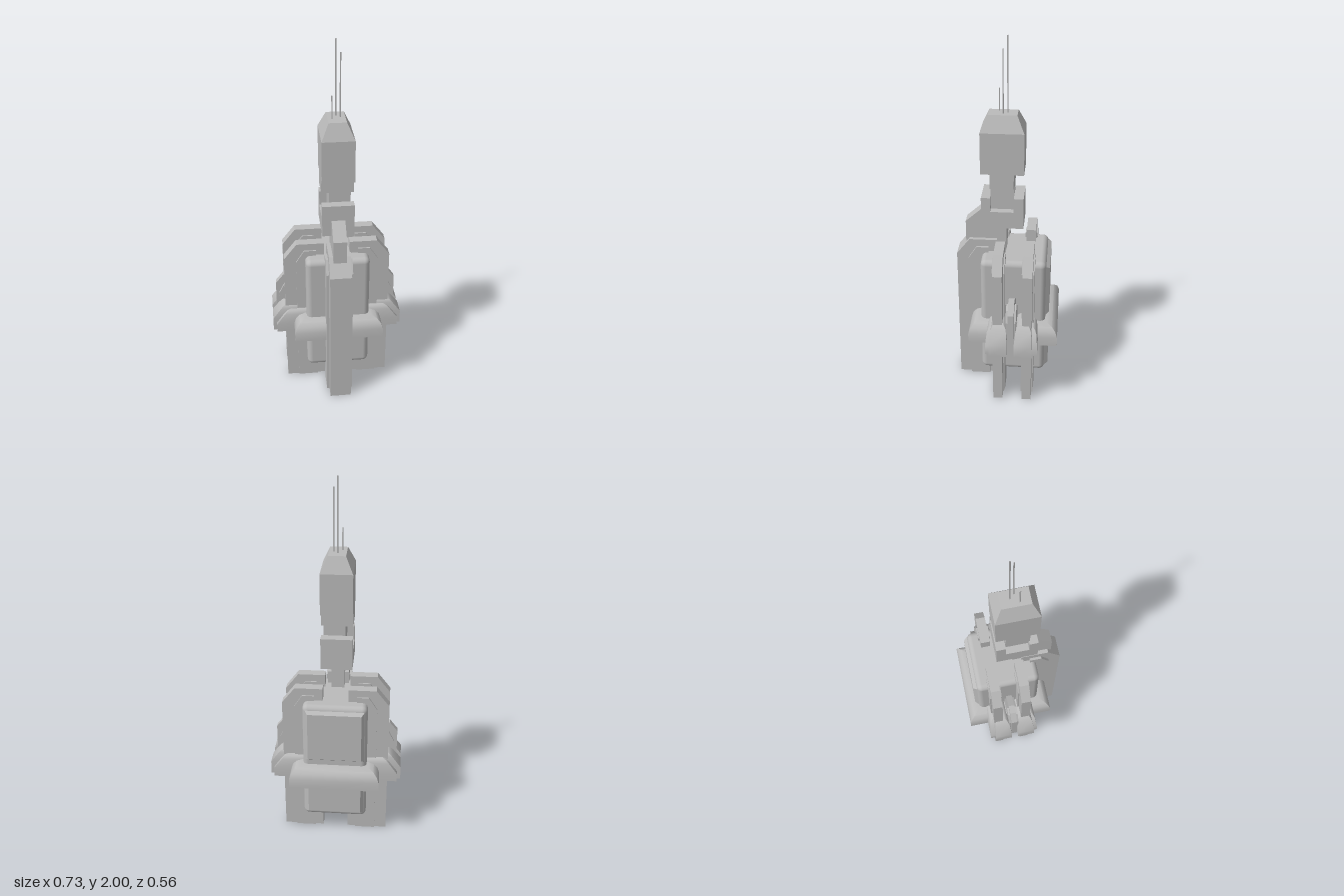
import * as THREE from 'three';
import { toCreasedNormals } from 'three/addons/utils/BufferGeometryUtils.js';
import { RoundedBoxGeometry } from 'three/addons/geometries/RoundedBoxGeometry.js';

const grey = new THREE.MeshStandardMaterial({ color: 0xbababa });
grey.name = 'grey';

export function createModel() {
  const root = new THREE.Group();
  root.name = 'tower';

  const add = (name, geometry) => {
    const mesh = new THREE.Mesh(geometry, grey);
    mesh.name = name;
    root.add(mesh);
    return mesh;
  };

  // Box given by its limits
  const box = (name, x0, x1, y0, y1, z0, z1) =>
    add(name, new THREE.BoxGeometry(x1 - x0, y1 - y0, z1 - z0)
      .translate((x0 + x1) / 2, (y0 + y1) / 2, (z0 + z1) / 2));

  // Plate with an outline in the front plane, between two z values
  const plate = (points, z0, z1) =>
    new THREE.ExtrudeGeometry(new THREE.Shape(points.map(([x, y]) => new THREE.Vector2(x, y))),
      { depth: z1 - z0, bevelEnabled: false }).translate(0, 0, z0);

  // Plate with an outline of [z, y] points, centred on x = 0
  const sidePlate = (points, half) => plate(points, -half, half).rotateY(-Math.PI / 2);

  // Solid through stacked rectangles [y, x0, x1, z0, z1]
  const loft = (levels, crease) => {
    const pos = [], index = [];
    for (const [y, x0, x1, z0, z1] of levels) pos.push(x0, y, z1, x1, y, z1, x1, y, z0, x0, y, z0);
    const n = levels.length - 1;
    for (let l = 0; l < n; l++) {
      for (let i = 0; i < 4; i++) {
        const a = l * 4 + i, b = l * 4 + (i + 1) % 4;
        index.push(a, b, b + 4, a, b + 4, a + 4);
      }
    }
    const t = n * 4;
    index.push(0, 2, 1, 0, 3, 2, t, t + 1, t + 2, t, t + 2, t + 3);
    const g = new THREE.BufferGeometry();
    g.setAttribute('position', new THREE.Float32BufferAttribute(pos, 3));
    g.setIndex(index);
    return toCreasedNormals(g, crease);
  };

  // Main body with back panel
  add('body', new RoundedBoxGeometry(0.35, 0.71, 0.355, 4, 0.03).translate(0, 0.475, -0.0375));
  const panel = loft([
    [0, -0.16, 0.16, -0.4, -0.09],
    [0.02, -0.145, 0.145, -0.385, -0.105],
  ], 0.1);
  for (const [name, centre, scale] of [['upperBackPanel', 0.65, 1], ['lowerBackPanel', 0.28, 0.85]]) {
    const g = panel.clone().translate(0, 0, 0.245).scale(1, 1, scale);
    add(name, g.rotateX(-Math.PI / 2).translate(0, centre, -0.214));
  }

  // Arched buttresses: a tall narrow plate over a wider, lower one
  const tall = [[0.07, 0], [0.29, 0], [0.29, 0.81], [0.22, 0.9], [0.07, 0.9]];
  const low = [[0.115, 0], [0.225, 0], [0.225, 0.79], [0.18, 0.86], [0.115, 0.86]];
  const shift = (points, d) => points.map(([x, y]) => [x + d, y]);
  const mirror = (points, s) => points.map(([x, y]) => [x * s, y]);
  for (const s of [1, -1]) {
    for (const z of [-0.121, 0.039]) {
      add('buttress', plate(mirror(tall, s), z - 0.026, z + 0.026));
      add('buttressCore', plate(mirror(low, s), z - 0.034, z + 0.034));
    }
  }
  add('frontSpine', sidePlate(shift(tall, -0.01), 0.058));
  add('frontSpineCore', sidePlate(shift(low, -0.01), 0.072));

  // Belt with rounded shoulders, swelling over each buttress
  add('belt', loft([
    [0.35, -0.245, 0.245, -0.285, 0.205],
    [0.405, -0.245, 0.245, -0.285, 0.205],
    [0.435, -0.235, 0.235, -0.275, 0.195],
    [0.455, -0.215, 0.215, -0.255, 0.175],
    [0.465, -0.185, 0.185, -0.225, 0.145],
  ], 0.8));
  const swelling = (s, out, top, z0, z1) => {
    const level = (y, dx, dz) => {
      const a = s * 0.15, b = s * (out - dx);
      return [y, Math.min(a, b), Math.max(a, b), z0 + dz, z1 - dz];
    };
    return loft([level(0.35, 0, 0), level(top - 0.085, 0, 0), level(top - 0.025, 0.045, 0.006),
      level(top - 0.008, 0.062, 0.014), level(top, 0.08, 0.026)], 0.7);
  };
  for (const s of [1, -1]) {
    add('beltRearKnuckle', swelling(s, 0.363, 0.51, -0.152, -0.055));
    add('beltFrontKnuckle', swelling(s, 0.363, 0.51, -0.017, 0.08));
    add('beltRearShoulder', swelling(s, 0.343, 0.485, -0.18, -0.06));
    add('beltFrontShoulder', swelling(s, 0.343, 0.485, -0.012, 0.102));

    // Small side fin between the buttresses
    const fin = [[0.16, 0.35], [0.338, 0.35], [0.338, 0.6], [0.295, 0.655], [0.25, 0.655], [0.16, 0.6]];
    const finBase = [[0.16, 0.35], [0.32, 0.35], [0.32, 0.54], [0.29, 0.6], [0.25, 0.62], [0.16, 0.55]];
    add('sideFin', plate(mirror(fin, s), -0.053, -0.021));
    add('sideFinBase', plate(mirror(finBase, s), -0.063, -0.008));
    box('sideFinStep', s > 0 ? 0.16 : -0.25, s > 0 ? 0.25 : -0.16, 0.35, 0.5, -0.082, 0.006);
  }

  // Sloped column carrying the upper stages
  add('shoulderColumn', sidePlate(
    [[0.01, 0.8], [0.23, 0.8], [0.23, 1.0], [0.14, 1.08], [0.01, 1.08]], 0.036));

  // Cradle, open from side to side
  add('cradle', sidePlate([[-0.085, 0.99], [0.14, 0.99], [0.14, 1.165], [0.092, 1.165],
    [0.092, 1.085], [-0.033, 1.085], [-0.033, 1.165], [-0.085, 1.165]], 0.085));
  box('neck', -0.045, 0.045, 1.08, 1.31, -0.033, 0.092);
  for (const s of [1, -1]) {
    box('headTab', s > 0 ? 0.045 : -0.085, s > 0 ? 0.085 : -0.045, 1.22, 1.31, -0.033, 0.092);
  }

  // Head tapering to a flat roof
  add('head', loft([
    [1.3, -0.085, 0.085, -0.086, 0.141],
    [1.525, -0.085, 0.085, -0.086, 0.141],
    [1.61, -0.046, 0.046, -0.048, 0.102],
  ], 0.1));

  // Three-sided antennas
  for (const [x, z, top] of [[0, 0.003, 2], [0.021, 0.025, 1.94], [-0.023, 0.047, 1.73]]) {
    const h = top - 1.6;
    add('antenna', new THREE.CylinderGeometry(0.004, 0.004, h, 3).translate(x, 1.6 + h / 2, z));
  }

  return root;
}
